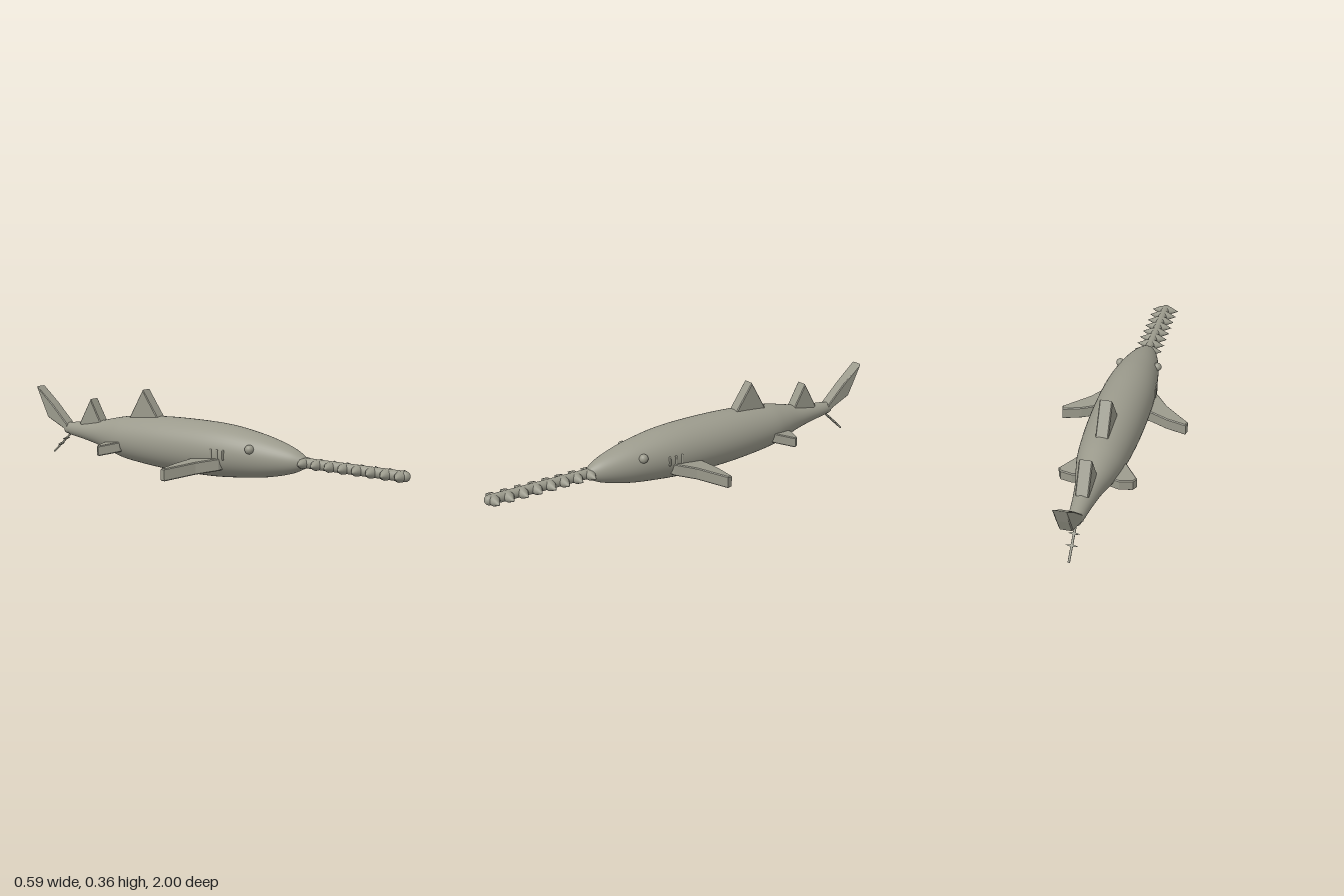
import * as THREE from 'three';

const skin = new THREE.MeshStandardMaterial({ color: 0x9b9a8c });
skin.name = 'grey skin';

function add(parent, name, geometry) {
  const mesh = new THREE.Mesh(geometry, skin);
  mesh.name = name;
  parent.add(mesh);
  return mesh;
}

// Moves every vertex up by a rule of its position
function lift(geometry, rule) {
  const p = geometry.attributes.position;
  for (let i = 0; i < p.count; i++) p.setY(i, p.getY(i) + rule(p.getX(i), p.getZ(i)));
  geometry.computeVertexNormals();
  return geometry;
}

// Slab of the given thickness from a 2D outline, centred on its plane
function slab(points, thickness) {
  const bevel = 0.004;
  const shape = new THREE.Shape(points.map(([a, b]) => new THREE.Vector2(a, b)));
  const g = new THREE.ExtrudeGeometry(shape, {
    depth: thickness - 2 * bevel, bevelThickness: bevel, bevelSize: bevel,
    bevelOffset: -bevel, bevelSegments: 1,
  });
  return g.translate(0, 0, -thickness / 2 + bevel);
}

// Upright fin, outline given as [z, y]
const uprightFin = (points) => slab(points, 0.055).rotateY(-Math.PI / 2);

// Level fin, outline given as [x, z], mirrored by side
const levelFin = (points, side, thickness) =>
  slab(points.map(([x, z]) => [x * side, z]), thickness).rotateX(Math.PI / 2);

export function createModel() {
  const model = new THREE.Group();
  model.name = 'sawfish';

  // Body of revolution from tail to snout, its axis rising slightly at the tail
  const profile = [
    [-0.82, 0.026], [-0.78, 0.033], [-0.7, 0.043], [-0.6, 0.06], [-0.5, 0.085], [-0.4, 0.104],
    [-0.2, 0.12], [0, 0.123], [0.15, 0.117], [0.3, 0.098], [0.4, 0.077], [0.48, 0.052], [0.53, 0.026],
  ].map(([z, r]) => new THREE.Vector2(r, z));
  const curve = new THREE.SplineCurve(profile).getPoints(60);
  const bodyGeometry = new THREE.LatheGeometry(
    [new THREE.Vector2(0, -0.825), ...curve, new THREE.Vector2(0, 0.54)], 48).rotateX(Math.PI / 2);
  add(model, 'body', lift(bodyGeometry, (x, z) => 0.127 + (z < -0.4 ? (-0.4 - z) * 0.015 : z > 0.2 ? (0.2 - z) * 0.025 : 0)));

  // Saw: rounded blade with paired teeth
  const saw = new THREE.Group();
  saw.name = 'saw';
  model.add(saw);
  const blade = new THREE.CapsuleGeometry(0.022, 0.5, 8, 20).rotateX(Math.PI / 2);
  add(saw, 'sawBlade', blade).position.set(0, 0.119, 0.728);
  for (let i = 0; i < 8; i++) {
    for (const side of [-1, 1]) {
      const tooth = new THREE.LatheGeometry([
        [0.023, 0], [0.021, 0.015], [0.012, 0.032], [0.006, 0.046], [0, 0.058],
      ].map(([r, y]) => new THREE.Vector2(r, y)), 12).rotateZ(-side * Math.PI / 2);
      add(saw, 'sawTooth', tooth).position.set(side * 0.011, 0.118, 0.53 + i * 0.062);
    }
  }

  // Back fins and upper tail lobe
  add(model, 'frontDorsalFin', uprightFin([[-0.2, 0.2], [-0.235, 0.245], [-0.318, 0.364], [-0.402, 0.222], [-0.39, 0.19]]));
  add(model, 'rearDorsalFin', uprightFin([[-0.56, 0.16], [-0.585, 0.195], [-0.642, 0.294], [-0.715, 0.17], [-0.69, 0.14]]));
  add(model, 'upperTailFin', uprightFin([[-0.79, 0.11], [-0.8, 0.155], [-0.9, 0.25], [-1, 0.33], [-0.965, 0.25], [-0.93, 0.18], [-0.83, 0.135]]));

  // Thin lower tail lobe with two small barbs
  const start = new THREE.Vector3(0, 0.12, -0.785);
  const end = new THREE.Vector3(0, 0.003, -0.915);
  const spine = new THREE.LineCurve3(start, end);
  add(model, 'lowerTailSpine', new THREE.TubeGeometry(spine, 4, 0.005, 8));
  for (const t of [0.35, 0.62]) {
    const barb = add(model, 'tailBarb', new THREE.OctahedronGeometry(1));
    barb.scale.set(0.026, 0.008, 0.008);
    barb.position.copy(spine.getPoint(t));
  }

  for (const side of [-1, 1]) {
    const name = side > 0 ? 'left' : 'right';

    // Swept chest fin, sloping down towards its tip
    const chest = levelFin([[0.06, 0.19], [0.115, 0.17], [0.18, 0.095], [0.294, 0.012], [0.288, -0.012], [0.2, 0.0], [0.12, 0.025], [0.06, 0.03]], side, 0.055);
    add(model, name + 'PectoralFin', lift(chest, (x, z) => 0.068 - 0.1 * (Math.abs(x) - 0.12) + 0.1 * z));

    // Small belly fin
    const belly = levelFin([[0.05, -0.37], [0.105, -0.4], [0.168, -0.472], [0.155, -0.492], [0.1, -0.508], [0.05, -0.5]], side, 0.048);
    add(model, name + 'PelvicFin', lift(belly, (x, z) => 0.09 - 0.1 * (Math.abs(x) - 0.1) + 0.15 * (z + 0.45)));

    // Eye
    add(model, name + 'Eye', new THREE.SphereGeometry(0.02, 20, 14)).position.set(side * 0.09, 0.165, 0.31);

    // Gill ridges
    for (let i = 0; i < 3; i++) {
      const gill = add(model, name + 'Gill', new THREE.CapsuleGeometry(0.005, 0.035, 4, 10));
      gill.position.set(side * (0.112 + 0.003 * (2 - i)), 0.13, 0.13 + i * 0.03);
    }
  }
  return model;
}
